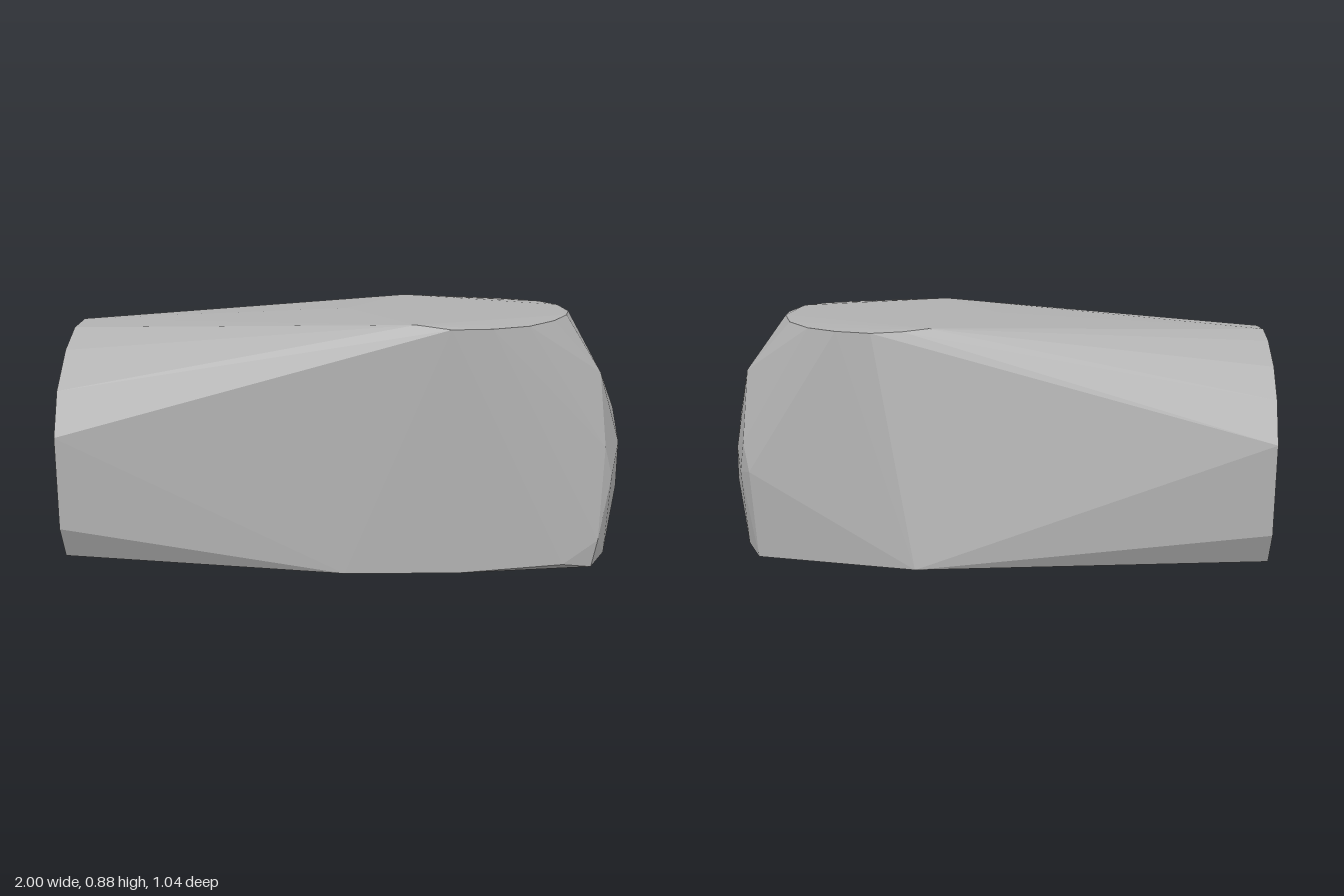
import * as THREE from 'three';
import { ConvexGeometry } from 'three/addons/geometries/ConvexGeometry.js';

export function createModel() {
  const group = new THREE.Group();
  const grey = new THREE.MeshStandardMaterial({ color: 0xb0b0b0 });
  grey.name = 'grey';
  const points = [];
  const add = (list) => list.forEach(([x, y, z]) => points.push(new THREE.Vector3(x, y, z)));

  // Flat arched end: [y, z] section at x = -1
  const arch = [
    [0.04, 0.46], [0.16, 0.52], [0.49, 0.52], [0.64, 0.45], [0.76, 0.31], [0.82, 0.17], [0.83, 0.02],
    [0.805, -0.1], [0.735, -0.24], [0.635, -0.34], [0.49, -0.41], [0.16, -0.41], [0.04, -0.35],
  ];
  add(arch.map(([y, z]) => [-1, y, z]));

  // Small octagon on the nose: [y, z] at x = 1
  const nose = [
    [0.155, 0.12], [0.16, -0.01], [0.25, -0.12], [0.37, -0.11],
    [0.49, -0.04], [0.51, 0.09], [0.41, 0.215], [0.24, 0.21],
  ];
  add(nose.map(([y, z]) => [1, y, z]));

  // Rounded rim of the top: [x, y, z]
  add([
    [0.22, 0.878, -0.355], [0.31, 0.87, -0.38], [0.42, 0.865, -0.39], [0.55, 0.866, -0.36], [0.66, 0.868, -0.3],
    [0.75, 0.873, -0.2], [0.8, 0.878, -0.06], [0.82, 0.872, 0.07], [0.79, 0.878, 0.21],
    [0.73, 0.873, 0.32], [0.63, 0.868, 0.42], [0.5, 0.866, 0.475], [0.36, 0.866, 0.495], [0.24, 0.878, 0.465],
    [0.0, 0.878, 0.05],
  ]);

  // Bevelled shoulders around the nose
  add([
    [0.93, 0.685, -0.16], [0.91, 0.68, 0.275], [0.95, 0.315, -0.25], [0.95, 0.32, 0.365],
    [0.93, 0.43, -0.265], [0.92, 0.43, 0.378], [0.9, 0.33, -0.31], [0.9, 0.1, 0.425],
  ]);

  // Base outline and its flared back corner
  add([
    [0.0, 0.003, 0.52], [0.4, 0.003, 0.505], [0.77, 0.025, 0.472], [0.88, 0, 0.425],
    [0.94, 0.022, 0.335], [0.94, 0.022, -0.22], [0.88, 0, -0.31], [0.26, 0.045, -0.525],
  ]);

  const body = new THREE.Mesh(new ConvexGeometry(points), grey);
  body.name = 'body';
  group.add(body);
  return group;
}
